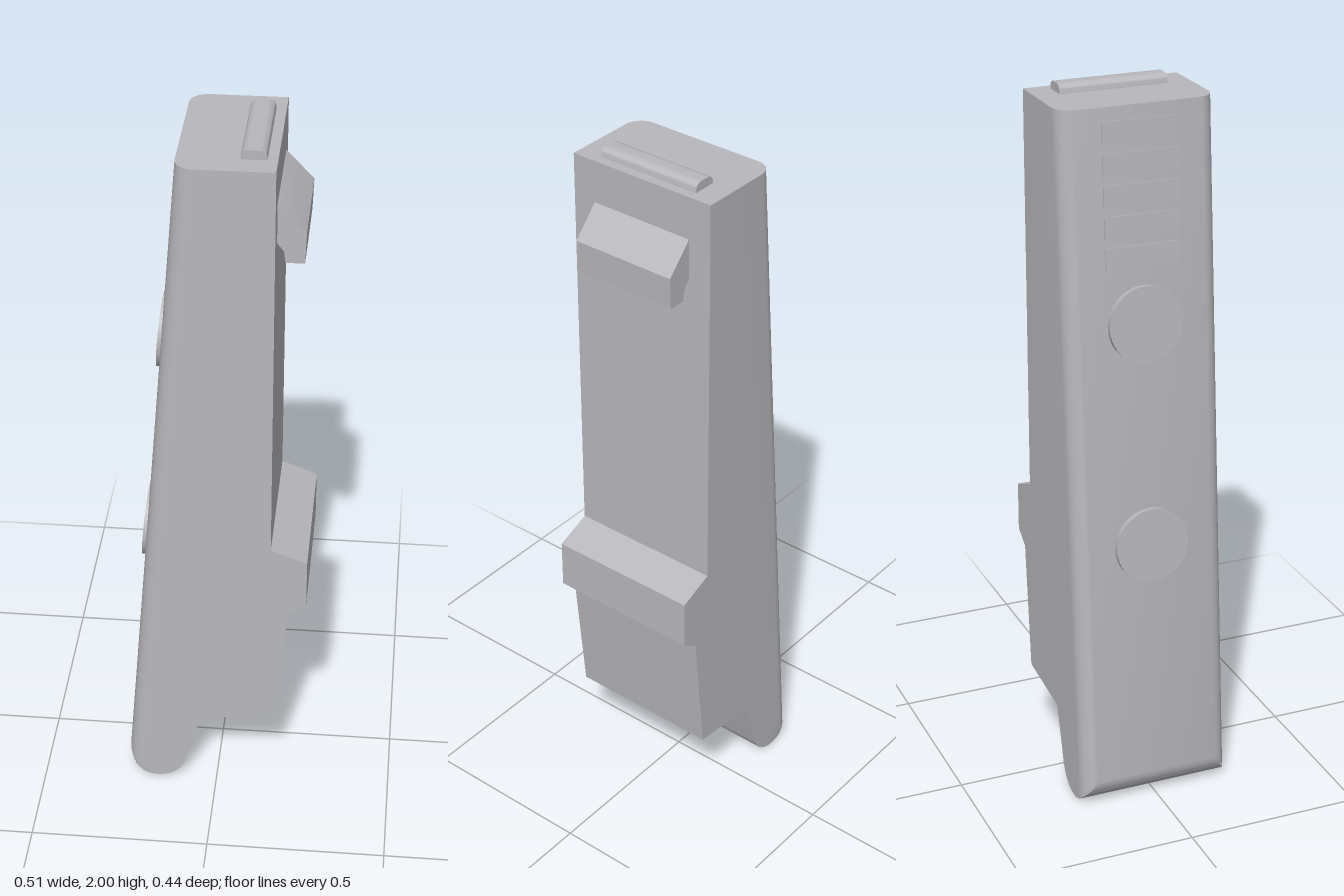
import * as THREE from 'three';
import { toCreasedNormals } from 'three/addons/utils/BufferGeometryUtils.js';

const grey = new THREE.MeshStandardMaterial({ color: 0xb8b8bc });
grey.name = 'grey plastic';

const TOP = 1.975, HALF = 0.22, SLOPE = 0.0791, RADIUS = 0.05;
// x of the sloping face at a given height
const slopeX = (y) => -0.106 - (TOP - y) * SLOPE;

function makeMesh(name, geometry) {
  const mesh = new THREE.Mesh(geometry, grey);
  mesh.name = name;
  return mesh;
}

function shapeFrom(points) {
  return new THREE.Shape(points.map(([x, y]) => new THREE.Vector2(x, y)));
}

// Side profile pulled across z; the two edges of the sloping face are rounded
function bodyGeometry() {
  const points = [
    [-0.106, TOP], [0.15, TOP], [0.15, 0.835], [0.25, 0.795], [0.25, 0.655],
    [0.2, 0.62], [0.165, 0.25], [-0.045, 0.225],
  ];
  const arcSteps = 24;
  for (let i = 0; i <= arcSteps; i++) {
    const a = THREE.MathUtils.degToRad(-15 - (160.5 * i) / arcSteps);
    points.push([-0.172 + 0.084 * Math.cos(a), 0.084 + 0.084 * Math.sin(a)]);
  }
  const k = 8, steps = 2 * k + 1;
  const geometry = new THREE.ExtrudeGeometry(shapeFrom(points), { depth: 1, steps, bevelEnabled: false });
  const pos = geometry.attributes.position;
  for (let i = 0; i < pos.count; i++) {
    const layer = Math.round(pos.getZ(i) * steps);
    const a = (Math.min(layer, steps - layer) / k) * Math.PI / 2;
    const side = layer <= k ? -1 : 1;
    const inset = RADIUS * (1 - Math.sin(a));
    pos.setX(i, Math.max(pos.getX(i), slopeX(pos.getY(i)) + inset));
    pos.setZ(i, side * (HALF - RADIUS + RADIUS * Math.cos(a)));
  }
  return toCreasedNormals(geometry, 0.45);
}

// Constant profile centred on z = 0
function bar(name, shape, width) {
  const geometry = new THREE.ExtrudeGeometry(shape, { depth: width, bevelEnabled: false, curveSegments: 10 });
  geometry.translate(0, 0, -width / 2);
  return makeMesh(name, toCreasedNormals(geometry, 0.45));
}

// Seat a part on the sloping face at height y
function seatOnSlope(mesh, y) {
  mesh.position.set(slopeX(y), y, 0);
  mesh.rotation.z = -Math.atan(SLOPE);
  return mesh;
}

export function createModel() {
  const model = new THREE.Group();
  model.name = 'handheldClip';
  model.add(makeMesh('body', bodyGeometry()));

  // Rounded bar on the top
  const ridge = new THREE.Shape();
  ridge.moveTo(0.056, 1.97);
  ridge.lineTo(0.123, 1.97);
  ridge.lineTo(0.123, 1.98);
  ridge.quadraticCurveTo(0.121, 2, 0.1, 2);
  ridge.lineTo(0.079, 2);
  ridge.quadraticCurveTo(0.058, 2, 0.056, 1.98);
  model.add(bar('topBar', ridge, 0.306));

  // Hook on the upright face
  model.add(bar('hook', shapeFrom([
    [0.145, 1.86], [0.15, 1.857], [0.225, 1.778], [0.222, 1.69], [0.172, 1.69],
    [0.168, 1.722], [0.15, 1.745], [0.145, 1.745],
  ]), 0.306));

  // Round buttons
  for (const [name, y] of [['upperButton', 1.392], ['lowerButton', 0.767]]) {
    const disc = new THREE.CylinderGeometry(0.105, 0.105, 0.026, 40);
    disc.rotateZ(Math.PI / 2);
    disc.translate(-0.003, 0, 0);
    model.add(seatOnSlope(makeMesh(name, disc), y));
  }

  // Thin slats above the buttons
  const slats = new THREE.Group();
  slats.name = 'slats';
  for (let i = 0; i < 5; i++) {
    const slat = makeMesh('slat', new THREE.BoxGeometry(0.008, 0.06, 0.21));
    slats.add(seatOnSlope(slat, 1.908 - i * 0.083));
  }
  model.add(slats);
  return model;
}
